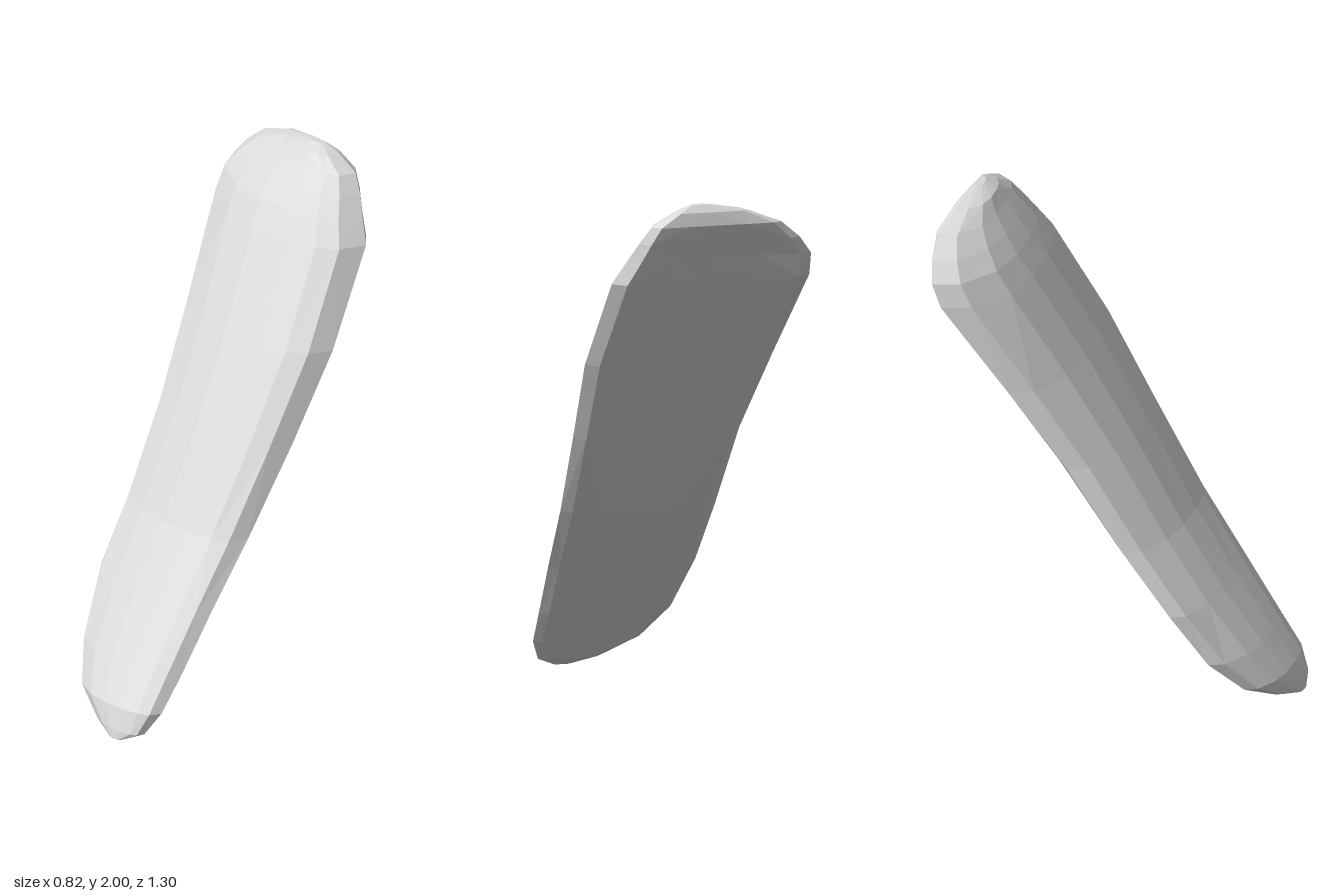
import * as THREE from 'three';

// Height, left x, right x, front z, back z,
// depth of the left edge (0 front to 1 back), depth of the hollow in the back
const levels = [
  [0, 0.23, 0.29, 0.65, 0.635, 0.6, 0],
  [0.035, 0.125, 0.365, 0.645, 0.575, 0.65, 0],
  [0.115, -0.015, 0.398, 0.622, 0.51, 0.72, 0],
  [0.245, -0.11, 0.4, 0.54, 0.405, 0.75, 0],
  [0.45, -0.175, 0.4, 0.4, 0.257, 0.62, 0.04],
  [0.7, -0.207, 0.4, 0.235, 0.06, 0.62, 0.1],
  [1.03, -0.248, 0.405, 0.045, -0.172, 0.6, 0.19],
  [1.35, -0.322, 0.408, -0.14, -0.375, 0.68, 0.24],
  [1.7, -0.408, 0.357, -0.34, -0.595, 0.78, 0.27],
  [1.79, -0.405, 0.305, -0.395, -0.618, 0.82, 0.22],
  [1.86, -0.355, 0.265, -0.445, -0.638, 0.82, 0.14],
  [1.925, -0.28, 0.22, -0.495, -0.65, 0.8, 0.02],
  [1.975, -0.15, 0.13, -0.53, -0.638, 0.75, 0],
  [2, -0.01, 0.07, -0.585, -0.615, 0.6, 0],
];

// Cross-section: position across (-1 to 1), depth from the left edge (e) and hollow (h)
const section = [
  [-0.86, (e) => e * 0.48], [-0.45, () => 0.05], [-0.05, () => 0], [0.38, () => 0.09],
  [0.7, () => 0.22], [0.9, () => 0.42], [1, () => 0.82],
  [0.87, () => 1], [0.45, (e, h) => 0.99 - h * 0.65], [0.05, (e, h) => 0.98 - h],
  [-0.45, (e, h) => 0.96 - h * 0.75], [-0.87, (e, h) => 0.75 + e * 0.22 - h * 0.15], [-1, (e) => e],
];

function loftGeometry() {
  const n = section.length;
  const positions = [];
  const index = [];
  for (const [y, left, right, front, back, edge, hollow] of levels) {
    for (const [t, depth] of section) {
      const x = (left + right) / 2 + (t * (right - left)) / 2;
      positions.push(x, y, front + (back - front) * depth(edge, hollow));
    }
  }
  // Skin between levels, with the quad diagonals alternating
  for (let i = 0; i < levels.length - 1; i++) {
    for (let j = 0; j < n; j++) {
      const k = (j + 1) % n;
      const a = i * n + j, b = i * n + k, c = b + n, d = a + n;
      if ((i + j) % 2) index.push(a, b, c, a, c, d);
      else index.push(a, b, d, b, c, d);
    }
  }
  // Small caps at both tips
  const top = (levels.length - 1) * n;
  for (let j = 1; j < n - 1; j++) {
    index.push(0, j + 1, j);
    index.push(top, top + j, top + j + 1);
  }
  const geometry = new THREE.BufferGeometry();
  geometry.setAttribute('position', new THREE.Float32BufferAttribute(positions, 3));
  geometry.setIndex(index);
  const flat = geometry.toNonIndexed();
  flat.computeVertexNormals();
  return flat;
}

export function createModel() {
  const group = new THREE.Group();
  group.name = 'leaningStone';
  const stone = new THREE.MeshStandardMaterial({ color: 0xd9d9d9, flatShading: true });
  stone.name = 'pale grey stone';
  const slab = new THREE.Mesh(loftGeometry(), stone);
  slab.name = 'stoneSlab';
  group.add(slab);
  return group;
}
